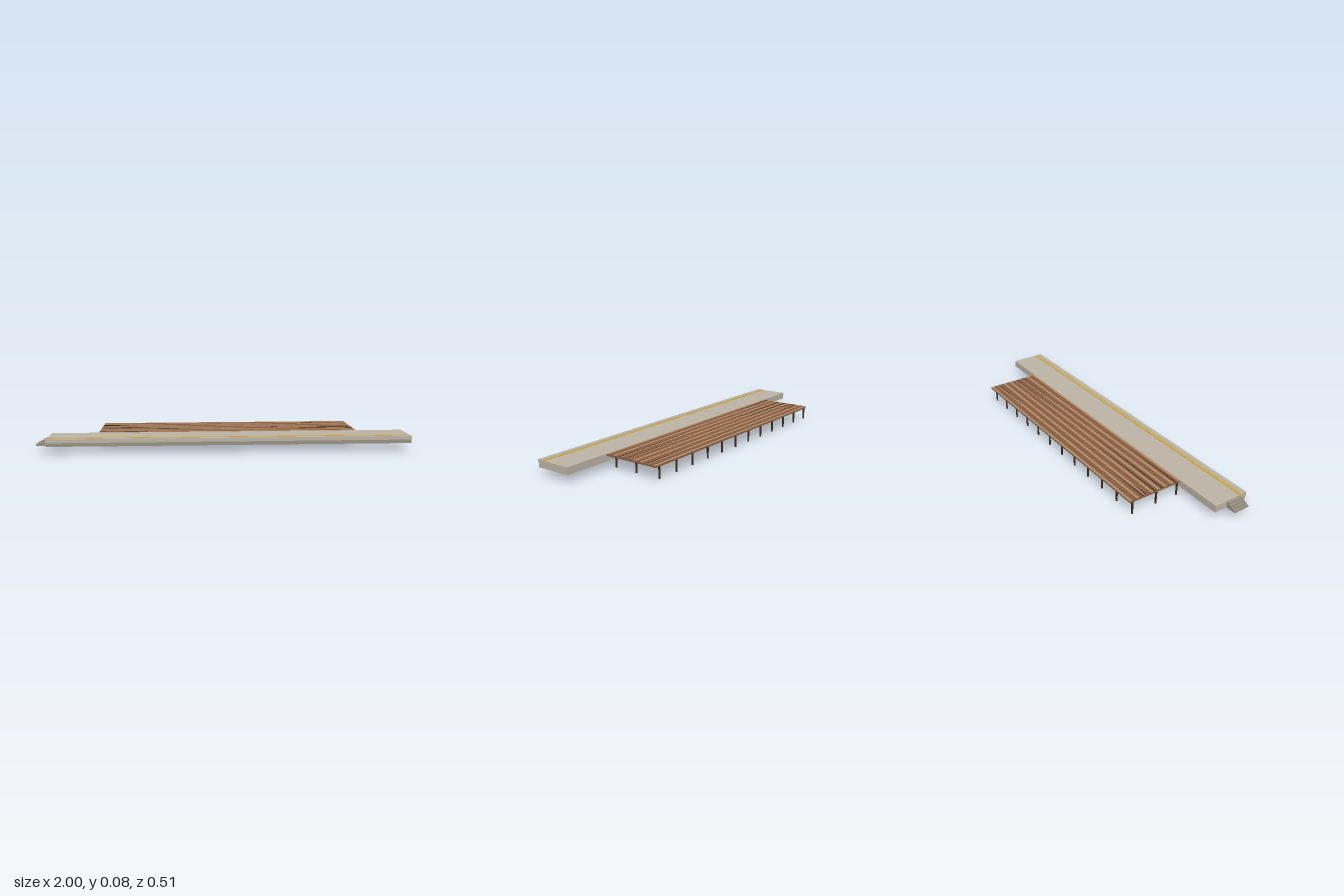
import * as THREE from 'three';

const mat = (name, color) => new THREE.MeshStandardMaterial({ name, color });

export function createModel() {
  const model = new THREE.Group();
  model.name = 'stationPlatform';
  const concrete = mat('concrete', 0xbbb3a5);
  const darkConcrete = mat('darkConcrete', 0x989082);
  const yellow = mat('safetyYellow', 0xd0a228);
  const brown = mat('brownWood', 0x8a5c40);
  const tan = mat('tanWood', 0xb0906a);
  const dark = mat('darkWood', 0x3d2922);

  // Box given by its limits on each axis
  const box = (name, material, x0, x1, y0, y1, z0, z1, parent = model) => {
    const m = new THREE.Mesh(new THREE.BoxGeometry(x1 - x0, y1 - y0, z1 - z0), material);
    m.position.set((x0 + x1) / 2, (y0 + y1) / 2, (z0 + z1) / 2);
    m.name = name;
    parent.add(m);
    return m;
  };

  // Concrete platform with a raised front edge and a yellow line
  box('platformBody', concrete, -0.945, 1, 0.04, 0.078, 0.057, 0.251);
  box('platformFace', darkConcrete, -0.944, 0.999, 0.0405, 0.06, 0.25, 0.253);
  box('platformEdge', concrete, -0.945, 1, 0.06, 0.08, 0.232, 0.2545);
  box('safetyLine', yellow, -0.942, 0.998, 0.0775, 0.0795, 0.21, 0.222);

  // Steps at the end of the platform
  const steps = new THREE.Group();
  steps.name = 'endSteps';
  model.add(steps);
  for (let i = 0; i < 4; i++) {
    const x = -1 + i * 0.0138;
    box('step', darkConcrete, x, x + 0.0138, 0.04, 0.048 + i * 0.0075, 0.13, 0.22, steps);
  }

  // Timber deck: a base slab with wide brown and narrow tan boards
  const deck = new THREE.Group();
  deck.name = 'timberDeck';
  model.add(deck);
  box('deckBase', brown, -0.69, 0.743, 0.067, 0.0765, -0.252, 0.057, deck);
  const pitch = 0.0424;
  for (let i = 0; i < 8; i++) {
    const z = -0.253 + i * pitch;
    box('tanBoard', tan, -0.69, 0.743, 0.076, 0.0785, z, Math.min(z + 0.013, 0.057), deck);
    if (i < 7) {
      box('brownBoard', brown, -0.69, 0.743, 0.076, 0.078, z + 0.0138, z + pitch - 0.0006, deck);
    }
  }

  // Tapering open joints between boards: [z, closed end, open end]
  const joints = [
    [-0.175, -0.44, -0.69], [-0.157, -0.57, -0.69], [-0.101, -0.23, -0.69],
    [-0.058, -0.13, -0.69], [0.028, -0.36, -0.69], [-0.2, 0.41, 0.743],
    [-0.073, 0.26, 0.743], [-0.03, 0.23, 0.743],
  ];
  for (const [z, a, b] of joints) {
    const shape = new THREE.Shape();
    shape.moveTo(a, -z);
    shape.lineTo(b, -z - 0.0035);
    shape.lineTo(b, -z + 0.0035);
    const joint = new THREE.Mesh(
      new THREE.ExtrudeGeometry(shape, { depth: 0.001, bevelEnabled: false }), dark);
    joint.rotation.x = -Math.PI / 2;
    joint.position.y = 0.0778;
    joint.name = 'boardJoint';
    deck.add(joint);
  }

  // Three rows of tapered support posts
  const posts = new THREE.Group();
  posts.name = 'supportPosts';
  model.add(posts);
  const postGeo = new THREE.CylinderGeometry(0.006, 0.0045, 0.068, 8);
  for (const z of [0.037, -0.094, -0.238]) {
    for (let i = 0; i < 12; i++) {
      const post = new THREE.Mesh(postGeo, dark);
      post.position.set(-0.69 + i * 0.1264, 0.034, z);
      if (i === 0) post.position.x += 0.001;
      post.name = 'post';
      posts.add(post);
    }
  }
  return model;
}
